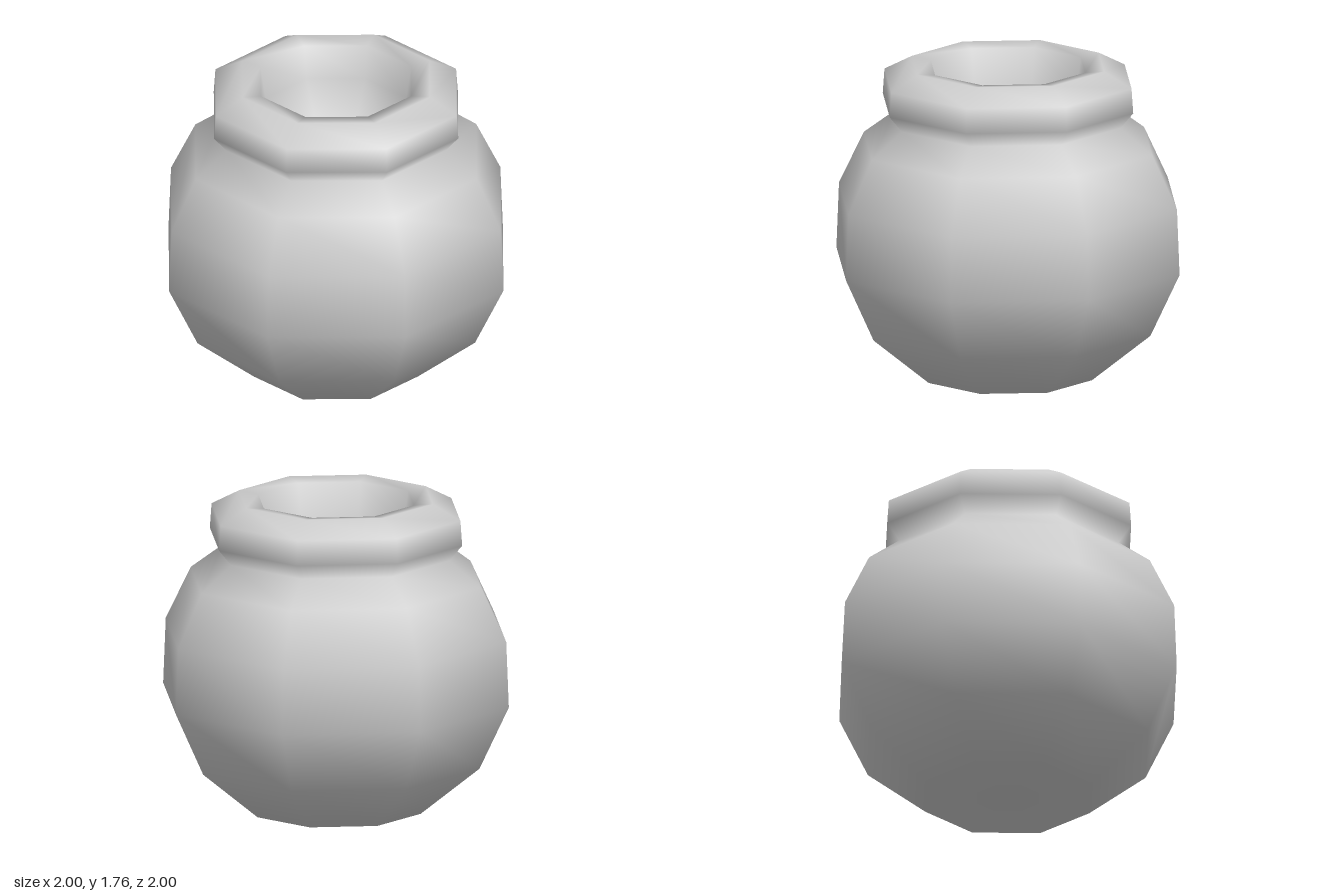
import * as THREE from 'three';

export function createModel() {
  const model = new THREE.Group();
  model.name = 'pot';
  const material = new THREE.MeshStandardMaterial({ color: 0xcccccc });
  const sides = 8;

  // Turns a profile of [radius, height] pairs into a smooth eight-sided part
  function turned(name, profile) {
    const points = profile.map(([r, y]) => new THREE.Vector2(r, y));
    const mesh = new THREE.Mesh(new THREE.LatheGeometry(points, sides), material);
    mesh.name = name;
    model.add(mesh);
  }

  // One continuous wall keeps the shading soft across belly, neck, lip and hollow
  turned('potWall', [
    // flat base and round belly
    [0, 0], [0.49, 0], [0.83, 0.28], [1, 0.64], [0.985, 1.01], [0.84, 1.31],
    // pinched neck
    [0.655, 1.45],
    // thick rolled lip
    [0.73, 1.54], [0.72, 1.68], [0.56, 1.765], [0.45, 1.75],
    // hollow mouth
    [0.42, 1.56], [0.3, 1.36], [0, 1.28],
  ]);

  return model;
}
